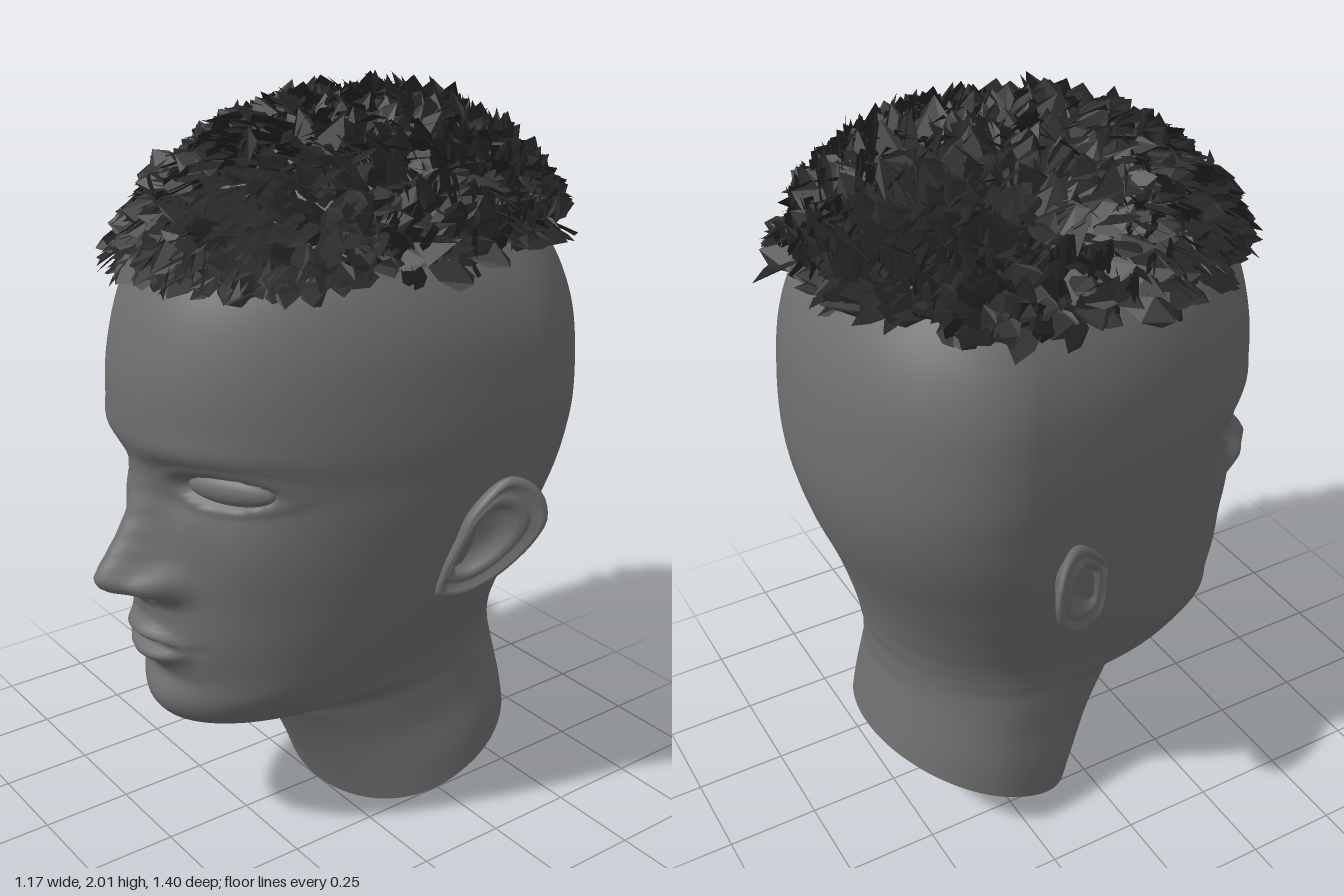
import * as THREE from 'three';

const skin = new THREE.MeshStandardMaterial({ color: 0x6e6e6e });
const earSkin = new THREE.MeshStandardMaterial({ color: 0x6e6e6e, side: THREE.DoubleSide });
const hairMat = new THREE.MeshStandardMaterial({ color: 0x262626, flatShading: true, side: THREE.DoubleSide });

// Cross-sections from neck to crown: front y, front z, back y, back z, half width, z of widest point
const SECTIONS = [
  [0, 0, .26, -.57, .355, -.28], [.1, .043, .33, -.555, .35, -.27], [.22, .105, .41, -.54, .332, -.25],
  [.31, .16, .47, -.53, .325, -.22], [.355, .2, .51, -.53, .322, -.2], [.362, .3, .55, -.53, .326, -.19],
  [.365, .41, .58, -.535, .331, -.18], [.4, .485, .62, -.54, .341, -.18], [.46, .515, .67, -.55, .36, -.18],
  [.55, .515, .73, -.565, .387, -.18], [.65, .525, .8, -.585, .415, -.2], [.76, .53, .87, -.61, .44, -.22],
  [.88, .53, .95, -.64, .467, -.25], [1, .535, 1.04, -.665, .49, -.28], [1.1, .545, 1.12, -.68, .502, -.3],
  [1.2, .572, 1.2, -.685, .512, -.31], [1.32, .575, 1.32, -.68, .513, -.31], [1.44, .553, 1.44, -.665, .505, -.3],
  [1.54, .52, 1.54, -.635, .48, -.28], [1.63, .47, 1.63, -.59, .44, -.25], [1.72, .39, 1.72, -.53, .385, -.2],
  [1.8, .27, 1.8, -.43, .29, -.15], [1.86, .13, 1.86, -.3, .18, -.12], [1.88, -.1, 1.88, -.1, 0, -.1]
];
const LAST = SECTIONS.length - 1;
const frontCurve = new THREE.CatmullRomCurve3(SECTIONS.map(s => new THREE.Vector3(s[4], s[0], s[1])));
const backCurve = new THREE.CatmullRomCurve3(SECTIONS.map(s => new THREE.Vector3(s[5], s[2], s[3])));

// Nose: y, height above the face, half width
const NOSE = [
  [.7, 0, .06], [.75, .012, .08], [.775, .042, .09], [.795, .095, .09], [.815, .138, .09], [.84, .153, .09],
  [.87, .138, .085], [.9, .113, .078], [.95, .077, .068], [1, .045, .062], [1.06, .02, .06], [1.14, 0, .06]
];
function nose(x, y) {
  const i = NOSE.findIndex(n => n[0] > y);
  if (i < 1) return 0;
  const [a, b] = [NOSE[i - 1], NOSE[i]];
  const t = THREE.MathUtils.smoothstep(y, a[0], b[0]) * .3 + .7 * (y - a[0]) / (b[0] - a[0]);
  const w = THREE.MathUtils.lerp(a[2], b[2], t);
  return THREE.MathUtils.lerp(a[1], b[1], t) * Math.exp(-((x / w) ** 2));
}
const gauss = (x, y, cx, cy, sx, sy) => Math.exp(-(((x - cx) / sx) ** 2) - ((y - cy) / sy) ** 2);

// Forward relief of the face
function relief(px, y) {
  const x = Math.abs(px);
  const eye = ((x - .22) / .105) ** 2 + ((y - 1.098) / .04) ** 2;
  const lip = Math.max(0, 1 - (x / .15) ** 2);
  return nose(x, y)
    + .045 * gauss(x, y, .1, .825, .042, .038)                    // nostril wings
    - .025 * gauss(x, y, .052, .788, .025, .012)                  // nostrils
    - .032 * gauss(x, y, .2, 1.095, .13, .08)                     // eye sockets
    - .014 * gauss(x, y, .11, 1.07, .045, .07)
    + .014 * gauss(x, y, .2, 1.19, .15, .045)                     // brows
    + .007 * Math.exp(-(((eye - 1.7) / .7) ** 2))                 // eyelids
    - .022 * (1 - THREE.MathUtils.smoothstep(eye, .7, 1.15))
    + .014 * gauss(x, y, .28, .9, .1, .1)                         // cheeks
    + .02 * gauss(x, y, 0, .66, .16, .1)                          // muzzle
    + lip * .032 * Math.exp(-(((y - .641 - .03 * lip) / .022) ** 2)) // upper lip
    + lip * .032 * Math.exp(-(((y - .641 + .038 * lip) / .026) ** 2)) // lower lip
    - .022 * Math.exp(-((x / .135) ** 4) - ((y - .641) / .012) ** 2)
    - .012 * gauss(x, y, 0, .535, .12, .03)
    + .012 * gauss(x, y, 0, .45, .1, .05);                        // chin
}

// Point on the head: t from neck (0) to crown (1), angle 0 at the front
function headPoint(t, angle) {
  const f = frontCurve.getPoint(t), b = backCurve.getPoint(t);
  const c = Math.cos(angle), s = Math.sin(angle);
  const z = c > 0 ? b.x + (f.z - b.x) * c ** .85 : b.x + (b.x - b.z) * c;
  const k = f.z - b.z > 1e-4 ? (f.z - z) / (f.z - b.z) : 0;
  const jawLift = .07 * Math.exp(-(((f.y - .39) / .06) ** 2)) * s * s * Math.max(0, c) ** 1.5;
  const x = f.x * s, y = THREE.MathUtils.lerp(f.y, b.y, k) + jawLift;
  return new THREE.Vector3(x, y, c > 0 ? z + relief(x, y) * Math.min(1, c * 3) : z);
}

// Joins closed rings of points into a surface
function loft(rings) {
  const n = rings[0].length, index = [];
  for (let i = 0; i < rings.length - 1; i++) {
    for (let j = 0; j < n; j++) {
      const a = i * n + j, b = i * n + (j + 1) % n;
      index.push(a, b, b + n, a, b + n, a + n);
    }
  }
  const g = new THREE.BufferGeometry().setFromPoints(rings.flat());
  g.setIndex(index);
  g.computeVertexNormals();
  return g;
}

function add(group, name, geometry, material) {
  const mesh = new THREE.Mesh(geometry, material);
  mesh.name = name;
  group.add(mesh);
  return mesh;
}

// Ear: one outline shrunk through rings, from its back over the rim into the hollow
function earGeometry(side) {
  const outline = new THREE.CatmullRomCurve3([
    [-.095, .92], [-.11, .98], [-.155, 1.04], [-.215, 1.08], [-.27, 1.055], [-.297, .98], [-.28, .9],
    [-.24, .83], [-.19, .775], [-.13, .74], [-.075, .745], [-.075, .83]
  ].map(([z, y]) => new THREE.Vector3(0, y, z)), true).getPoints(48).slice(0, 48);
  if (side > 0) outline.reverse();
  const rings = [[.5, -.1], [.7, -.05], [.92, -.018], [1, 0], [.99, .01], [.94, .016], [.87, .013],
    [.79, -.001], [.72, .002], [.64, .006], [.55, -.004], [.47, -.028], [.25, -.036], [0, -.038]];
  return loft(rings.map(([scale, out]) => outline.map(p => {
    const z = -.15 + (p.z + .15) * scale, y = .91 + (p.y - .91) * scale;
    const x = .475 + .45 * (-.08 - z) - .28 * Math.max(0, .95 - y) - .2 * Math.max(0, y - 1.02) + out;
    return new THREE.Vector3(side * x, y, z);
  })));
}

function seeded(seed) {
  return () => (seed = (seed * 16807) % 2147483647) / 2147483647;
}

// Short hair: jagged pointed cards, hanging at the forehead and upright at the sides and back
function hairGeometry() {
  const rand = seeded(71), points = [], count = 1700;
  for (let i = 0; i < count; i++) {
    const angle = (i * 2.39996) % (Math.PI * 2), c = Math.cos(angle);
    const extent = 4.05 + .1 * c - (c < 0 ? .35 * Math.abs(Math.sin(2 * angle)) : 0);
    const root = headPoint(1 - extent * ((i + .5) / count) ** .58 / LAST, angle);
    const n = new THREE.Vector3(root.x, root.y - 1.4, root.z + .1).normalize();
    const lie = new THREE.Vector3(rand() - .5, rand() - .35 - .8 * Math.max(0, c), rand() - .5);
    lie.addScaledVector(n, -lie.dot(n)).normalize();
    const across = new THREE.Vector3().crossVectors(lie, n).addScaledVector(n, (rand() - .5) * 1.3).normalize();
    const size = .75 + .45 * rand();
    const rise = (.05 + .042 * n.y + .025 * Math.max(0, -n.z)) * size;
    const at = (up, along, wide) => root.clone().addScaledVector(n, up * rise)
      .addScaledVector(lie, along * size).addScaledVector(across, wide * size);
    const base = at(-.2, -.02, 0);
    const midL = at(.5, .025, -.034), midR = at(.5, .025, .034);
    const endL = at(.8, .045 + .025 * rand(), -.026), endR = at(.8, .045 + .025 * rand(), .026);
    const tip = at(1.05, .065 + .03 * rand(), .02 * (rand() - .5));
    points.push(base, midR, midL, midL, tip, endL, midL, midR, tip, midR, endR, tip);
  }
  const g = new THREE.BufferGeometry().setFromPoints(points);
  g.computeVertexNormals();
  return g;
}

export function createModel() {
  const group = new THREE.Group();
  group.name = 'headBust';

  // Head and neck in one skin, with columns gathered towards the face
  const rows = LAST * 10, cols = 160, rings = [];
  for (let i = 0; i <= rows; i++) {
    rings.push(Array.from({ length: cols }, (_, j) => {
      const u = 2 * j / cols - 1;
      return headPoint(i / rows, Math.PI * (.6 * u + .4 * u ** 3));
    }));
  }
  add(group, 'headAndNeck', loft(rings), skin);

  // Flat slanted cut under the neck
  const middle = new THREE.Vector3(0, .13, -.285);
  add(group, 'neckBase', loft([rings[0].map(() => middle), rings[0]]), skin);

  for (const side of [1, -1]) {
    const label = side > 0 ? 'left' : 'right';
    add(group, label + 'Ear', earGeometry(side), earSkin);
    const eye = add(group, label + 'Eye', new THREE.SphereGeometry(1, 32, 20), skin);
    eye.scale.set(.118, .04, .036);
    eye.position.set(side * .22, 1.098, .412);
    eye.rotation.y = side * .52;
  }

  add(group, 'hair', hairGeometry(), hairMat);
  return group;
}
